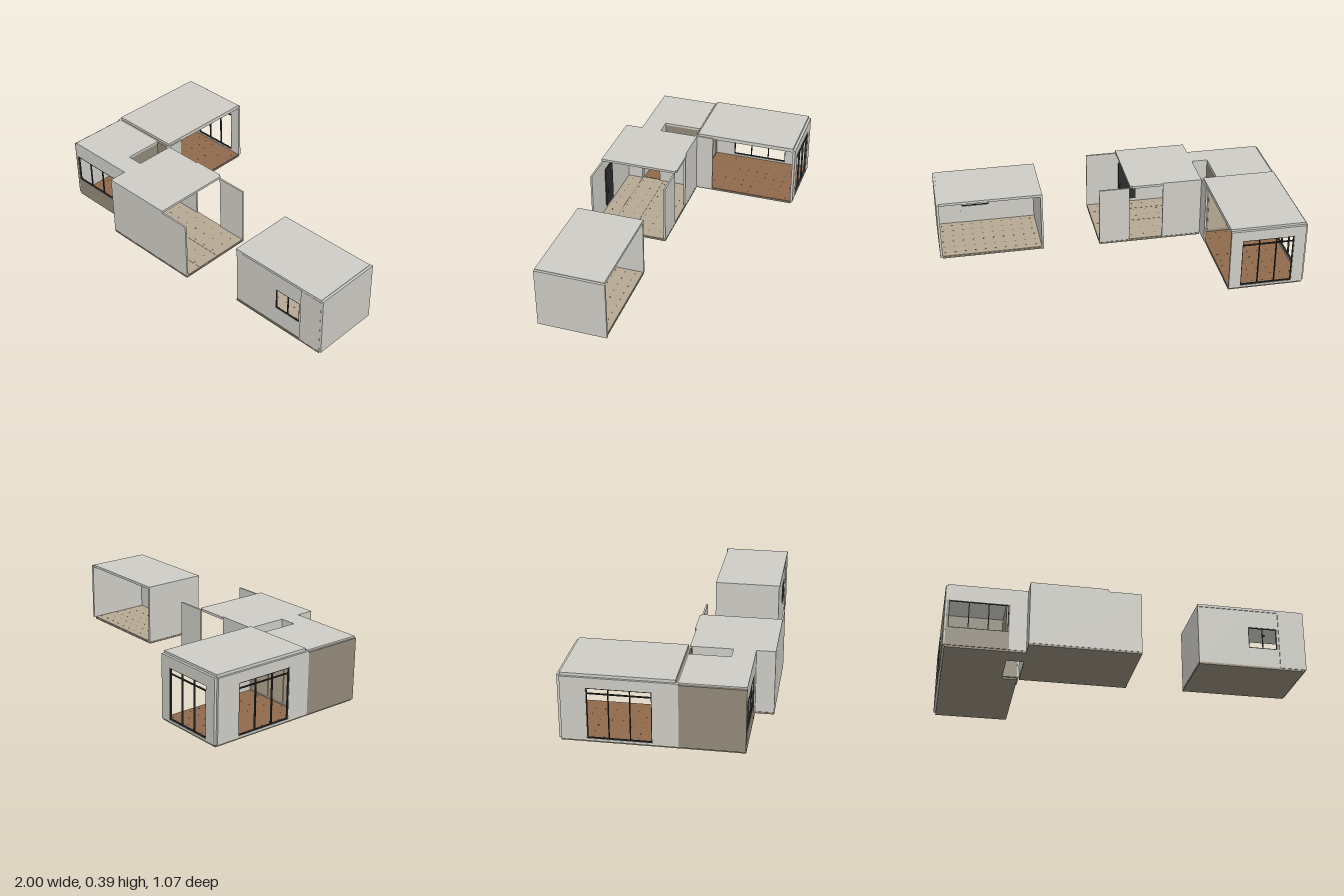
import * as THREE from 'three';

const mat = (name, color, side = THREE.FrontSide) => {
  const m = new THREE.MeshStandardMaterial({ color, side });
  m.name = name;
  return m;
};

export function createModel() {
  const concrete = mat('concrete', 0xcdccc5);
  const taupe = mat('taupe', 0x91897a);
  const frame = mat('frame', 0x2d2d2d);
  const wood = mat('wood', 0x8f6a4c);
  const tile = mat('tile', 0xb5a892);
  const dot = mat('tile inlay', 0x6b5846);
  const globe = mat('lamp globe', 0xa08c7c);

  const root = new THREE.Group();
  root.name = 'modularHouse';
  const rooms = {};
  for (const n of ['livingRoom', 'studyRoom', 'hallRoom', 'detachedRoom']) {
    rooms[n] = new THREE.Group();
    rooms[n].name = n;
    root.add(rooms[n]);
  }
  let room;

  // Box given by its limits on each axis
  const box = (name, m, x0, x1, y0, y1, z0, z1) => {
    const mesh = new THREE.Mesh(new THREE.BoxGeometry(x1 - x0, y1 - y0, z1 - z0), m);
    mesh.position.set((x0 + x1) / 2, (y0 + y1) / 2, (z0 + z1) / 2);
    mesh.name = name;
    room.add(mesh);
  };
  // Box whose long direction a runs along x or z, with depth c on the other axis
  const span = (name, m, axis, a0, a1, y0, y1, c0, c1) =>
    axis === 'x' ? box(name, m, a0, a1, y0, y1, c0, c1) : box(name, m, c0, c1, y0, y1, a0, a1);

  // Wall around a rectangular opening
  const wallWithOpening = (name, m, axis, a0, a1, y0, y1, c0, c1, [h0, h1, v0, v1], sill = m) => {
    span(name, m, axis, a0, h0, y0, y1, c0, c1);
    span(name, m, axis, h1, a1, y0, y1, c0, c1);
    span(name + 'Header', m, axis, h0, h1, v1, y1, c0, c1);
    span(name + 'Sill', sill, axis, h0, h1, y0, v0, c0, c1);
  };
  // Window frame with mullions and an optional transom
  const windowFrame = (name, axis, [h0, h1, v0, v1], c0, c1, panes, transom, t = 0.005) => {
    for (let i = 0; i <= panes; i++) {
      const a = h0 + t / 2 + (h1 - h0 - t) * i / panes;
      span(name + 'Mullion', frame, axis, a - t / 2, a + t / 2, v0, v1, c0, c1);
    }
    const rails = [v0 + t / 2, v1 - t / 2];
    if (transom) rails.push(transom);
    for (const y of rails) span(name + 'Rail', frame, axis, h0, h1, y - t / 2, y + t / 2, c0, c1);
  };
  // Slab with a thin floor finish on top
  const floor = (m, x0, x1, z0, z1) => {
    box('floorSlab', taupe, x0, x1, 0, 0.01, z0, z1);
    box('floorFinish', m, x0 + 0.002, x1 - 0.002, 0.01, 0.014, z0 + 0.002, z1 - 0.002);
  };
  // Small inlays at the crossings of the floor tiles
  const inlays = (x0, x1, z0, z1, step, s) => {
    for (let x = x0 + step / 2; x < x1; x += step)
      for (let z = z0 + step / 2; z < z1; z += step)
        box('floorInlay', dot, x - s, x + s, 0.014, 0.0145, z - s / 2, z + s / 2);
  };
  const spot = (x, y, z) => {
    const m = new THREE.Mesh(new THREE.CylinderGeometry(0.007, 0.007, 0.006, 12), frame);
    m.position.set(x, y, z);
    m.name = 'ceilingSpot';
    room.add(m);
  };

  // Living room, open toward +x, glazed on two sides
  room = rooms.livingRoom;
  floor(wood, -0.985, -0.56, -0.53, 0.075);
  inlays(-0.98, -0.57, -0.52, 0.07, 0.06, 0.006);
  box('roof', concrete, -0.985, -0.56, 0.365, 0.388, -0.525, 0.07);
  const sideDoor = [-0.39, -0.05, 0.025, 0.315];
  wallWithOpening('sideWall', concrete, 'z', -0.525, 0.085, 0.012, 0.372, -0.997, -0.983, sideDoor);
  windowFrame('sideDoor', 'z', sideDoor, -0.995, -0.985, 3, 0.282);
  const backDoor = [-0.92, -0.625, 0.025, 0.315];
  wallWithOpening('backWall', concrete, 'x', -0.985, -0.56, 0.012, 0.375, -0.54, -0.525, backDoor);
  windowFrame('backDoor', 'x', backDoor, -0.537, -0.527, 3, 0.282);
  box('partition', taupe, -0.985, -0.56, 0.01, 0.372, 0.07, 0.085);
  for (let i = 0; i < 3; i++) {
    const x = -0.95 + i * 0.12;
    box('partitionPanel', tile, x, x + 0.112, 0.03, 0.3, 0.066, 0.07);
  }
  box('wallStub', concrete, -0.563, -0.552, 0.012, 0.373, -0.027, 0.088);
  // Pendant lamp
  box('lampCord', frame, -0.773, -0.771, 0.33, 0.365, -0.271, -0.269);
  for (let i = 0; i < 5; i++) {
    const a = i * Math.PI * 2 / 5, r = 0.021;
    const ball = new THREE.Mesh(new THREE.SphereGeometry(0.01, 14, 10), globe);
    ball.position.set(-0.772 + r * Math.cos(a), 0.326, -0.27 + r * Math.sin(a));
    ball.name = 'lampGlobe';
    room.add(ball);
  }

  // Study with front window, and the passage beside the light well
  room = rooms.studyRoom;
  floor(wood, -0.985, -0.645, 0.075, 0.43);
  floor(wood, -0.645, -0.55, 0.315, 0.43);
  inlays(-0.98, -0.65, 0.09, 0.42, 0.06, 0.006);
  box('roof', concrete, -0.985, -0.645, 0.36, 0.374, 0.085, 0.43);
  box('passageRoof', concrete, -0.645, -0.55, 0.36, 0.374, 0.308, 0.43);
  box('sideCladding', taupe, -0.997, -0.99, 0.012, 0.365, 0.085, 0.43);
  box('sideWall', concrete, -0.99, -0.983, 0.012, 0.365, 0.085, 0.43);
  const win = [-0.975, -0.65, 0.115, 0.28];
  wallWithOpening('frontWall', concrete, 'x', -0.985, -0.645, 0.012, 0.36, 0.42, 0.43, win, taupe);
  box('frontCladding', taupe, -0.985, -0.645, 0.012, 0.115, 0.43, 0.432);
  for (const [a, b] of [[-0.985, -0.975], [-0.65, -0.645]])
    box('frontCladding', taupe, a, b, 0.115, 0.28, 0.43, 0.432);
  windowFrame('frontWindow', 'x', win, 0.422, 0.43, 3);
  box('lightWellWall', taupe, -0.655, -0.645, 0.012, 0.36, 0.085, 0.315);
  box('passageFrontWall', concrete, -0.645, -0.55, 0.012, 0.36, 0.42, 0.43);
  box('passageBackWall', concrete, -0.645, -0.55, 0.012, 0.36, 0.308, 0.318);

  // Hall, open toward +x, with a roof over part of it
  room = rooms.hallRoom;
  floor(tile, -0.55, 0.06, 0.075, 0.533);
  inlays(-0.54, 0.05, 0.09, 0.52, 0.072, 0.005);
  for (const z of [0.29, 0.43]) box('floorSeam', dot, -0.54, 0.058, 0.014, 0.0147, z - 0.001, z + 0.001);
  box('roof', concrete, -0.55, -0.122, 0.36, 0.374, 0.075, 0.533);
  box('roofLip', concrete, -0.32, -0.135, 0.36, 0.374, 0.067, 0.075);
  box('frontWall', concrete, -0.55, 0.06, 0.012, 0.36, 0.523, 0.533);
  box('backWallLeft', concrete, -0.12, 0.06, 0.012, 0.36, 0.075, 0.085);
  box('backWallRight', concrete, -0.55, -0.32, 0.012, 0.36, 0.075, 0.085);
  box('wellWall', concrete, -0.55, -0.54, 0.012, 0.36, 0.085, 0.315);
  box('endWall', concrete, -0.55, -0.54, 0.012, 0.36, 0.43, 0.523);
  box('wallPanel', frame, -0.25, -0.14, 0.035, 0.29, 0.516, 0.523);
  box('panelHandle', frame, -0.16, -0.145, 0.12, 0.145, 0.51, 0.516);
  spot(-0.235, 0.357, 0.2);
  spot(-0.235, 0.357, 0.4);

  // Detached room, open toward the back
  room = rooms.detachedRoom;
  floor(tile, 0.39, 0.985, 0.09, 0.475);
  inlays(0.4, 0.98, 0.1, 0.465, 0.06, 0.006);
  box('roof', concrete, 0.39, 0.985, 0.35, 0.365, 0.088, 0.475);
  box('leftWall', concrete, 0.985, 0.999, 0.012, 0.362, 0.08, 0.475);
  box('rightWall', concrete, 0.39, 0.402, 0.012, 0.35, 0.088, 0.465);
  const small = [0.675, 0.84, 0.122, 0.25];
  wallWithOpening('frontWall', concrete, 'x', 0.39, 0.85, 0.012, 0.35, 0.461, 0.471, small);
  box('frontPanel', concrete, 0.85, 0.985, 0.012, 0.35, 0.463, 0.476);
  windowFrame('frontWindow', 'x', small, 0.463, 0.47, 2);
  for (const x of [0.52, 0.69, 0.86]) for (const z of [0.19, 0.36]) spot(x, 0.347, z);

  return root;
}
